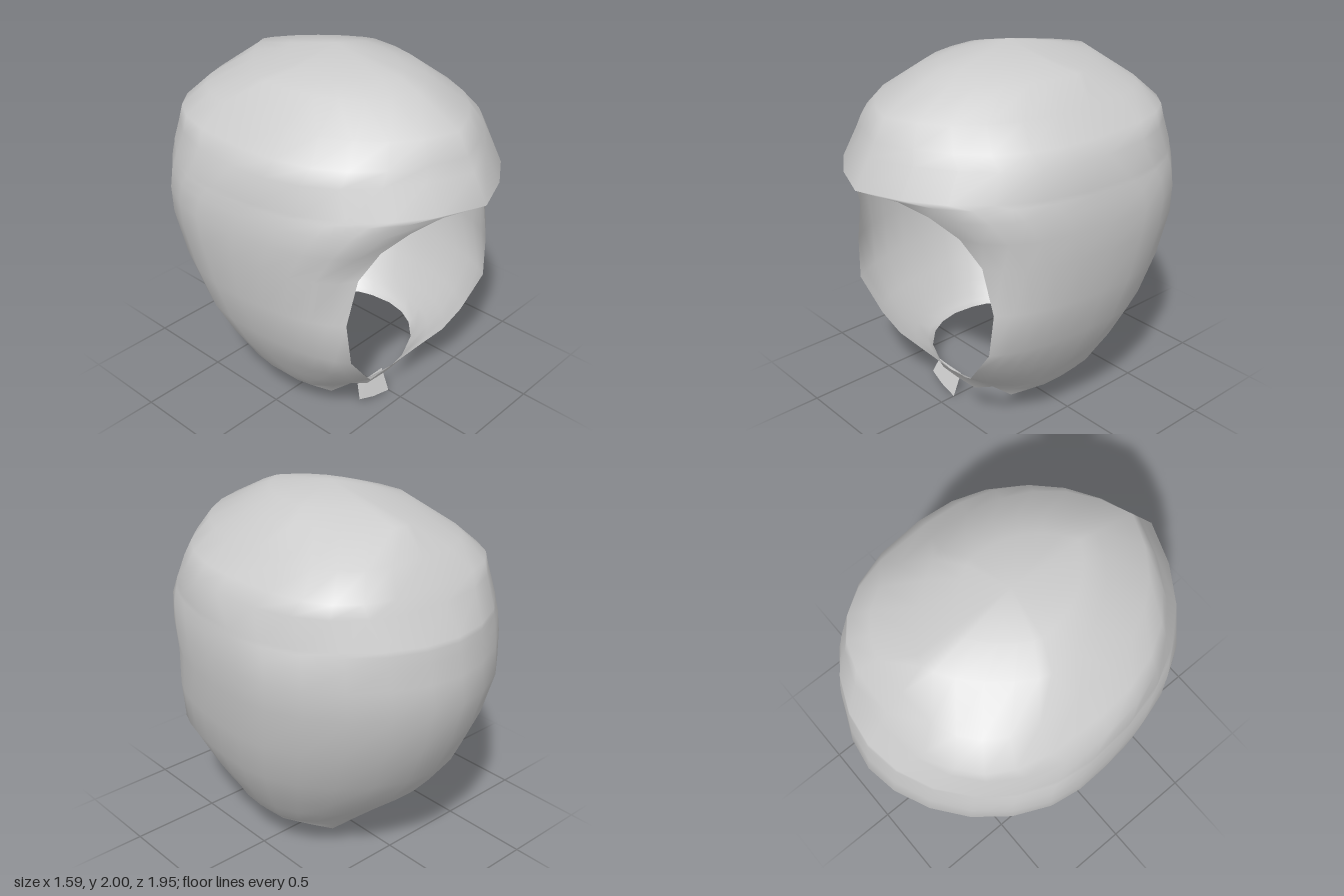
import * as THREE from 'three';
import { mergeVertices } from 'three/addons/utils/BufferGeometryUtils.js';

const material = new THREE.MeshStandardMaterial({ color: 0xcccccc, side: THREE.DoubleSide });

// Horizontal sections: height, half width, z of widest point, back z,
// front edge x, front edge z, front fullness, back roundness (lower is squarer)
const SECTIONS = [
  [0.13, 0.46, 0.02, -0.36, 0, 0.385, 0.95, 0.78],
  [0.19, 0.48, 0.02, -0.39, 0, 0.425, 0.92, 0.82],
  [0.25, 0.515, 0.0, -0.45, 0.19, 0.475, 0.85, 0.9],
  [0.33, 0.56, -0.03, -0.545, 0.31, 0.54, 0.78, 1.0],
  [0.44, 0.625, -0.06, -0.66, 0.41, 0.585, 0.75, 1.08],
  [0.62, 0.705, -0.1, -0.795, 0.555, 0.62, 0.75, 1.1],
  [0.85, 0.76, -0.15, -0.9, 0.575, 0.605, 0.75, 1.1],
  [1.09, 0.79, -0.2, -0.97, 0.51, 0.62, 0.85, 1.1],
  [1.24, 0.797, -0.22, -0.95, 0.43, 0.69, 0.92, 1.1],
  [1.35, 0.785, -0.2, -0.935, 0.33, 0.79, 0.88, 1.08],
  [1.41, 0.772, -0.15, -0.925, 0.2, 0.87, 0.82, 1.05],
  [1.435, 0.768, -0.12, -0.918, 0, 0.975, 0.8, 1.02],
  [1.58, 0.738, 0.0, -0.82, 0, 0.89, 0.71, 0.85],
  [1.65, 0.668, 0.0, -0.77, 0, 0.85, 0.78, 0.68],
  [1.76, 0.55, -0.05, -0.67, 0, 0.79, 0.8, 0.75],
  [1.885, 0.41, -0.1, -0.54, 0, 0.54, 0.75, 1.5],
  [1.93, 0.26, -0.03, -0.32, 0, 0.43, 0.7, 1.5],
  [2.0, 0, 0, 0, 0, 0, 0, 1],
];

// Uneven neck hem, from chin to nape
const HEM = [0.12, 0.11, 0.16, 0.13, 0.165, 0.18, 0.19, 0.19, 0.195, 0.18, 0.145, 0.17, 0.19];
const QUARTER = 6;

// Point on one half of a section: k = 0 at the front edge, 2 * QUARTER at the back
function sectionPoint([y, w, zw, zb, xe, zf, full, round], k) {
  if (k <= QUARTER) {
    const t = k / QUARTER, a = (1 - t) ** 2, b = 2 * t * (1 - t), c = t * t;
    const zc = zw + full * (zf - zw);
    return [a * xe + (b + c) * w, y, a * zf + b * zc + c * zw];
  }
  const angle = ((k - QUARTER) / QUARTER) * Math.PI / 2;
  const x = k === 2 * QUARTER ? 0 : w * Math.cos(angle) ** round;
  return [x, y, zw + (zb - zw) * Math.sin(angle) ** round];
}

// Builds a smooth sheet from a grid of points
function sheet(rows) {
  const n = rows[0].length, index = [];
  for (let r = 0; r < rows.length - 1; r++) {
    for (let j = 0; j < n - 1; j++) {
      const a = r * n + j, b = a + 1, c = a + n, d = c + 1;
      index.push(a, c, b, b, c, d);
    }
  }
  let geometry = new THREE.BufferGeometry();
  geometry.setAttribute('position', new THREE.Float32BufferAttribute(rows.flat(2), 3));
  geometry.setIndex(index);
  geometry = mergeVertices(geometry, 1e-4);
  geometry.computeVertexNormals();
  return geometry;
}

export function createModel() {
  const group = new THREE.Group();
  group.name = 'hood';

  // Shell: each row runs from the right face edge, round the back, to the left face edge
  const last = 2 * QUARTER;
  const rows = SECTIONS.map((section, r) => {
    const row = [];
    for (let j = -last; j <= last; j++) {
      const k = last - Math.abs(j);
      const [x, y, z] = sectionPoint(section, k);
      const height = r === 0 ? HEM[k] : r === 1 ? Math.max(0.185, HEM[k] + 0.025) : y;
      row.push([j < 0 ? -x : x, height, z]);
    }
    return row;
  });
  const shell = new THREE.Mesh(sheet(rows), material);
  shell.name = 'hoodShell';
  group.add(shell);

  // Small flap hanging under the chin
  const flap = new THREE.Mesh(sheet([
    [[0, 0, 0.41], [-0.12, 0.02, 0.4], [-0.22, 0.05, 0.385]],
    [[0, 0.13, 0.355], [-0.11, 0.13, 0.355], [-0.2, 0.13, 0.35]],
  ]), material);
  flap.name = 'chinFlap';
  group.add(flap);

  return group;
}
